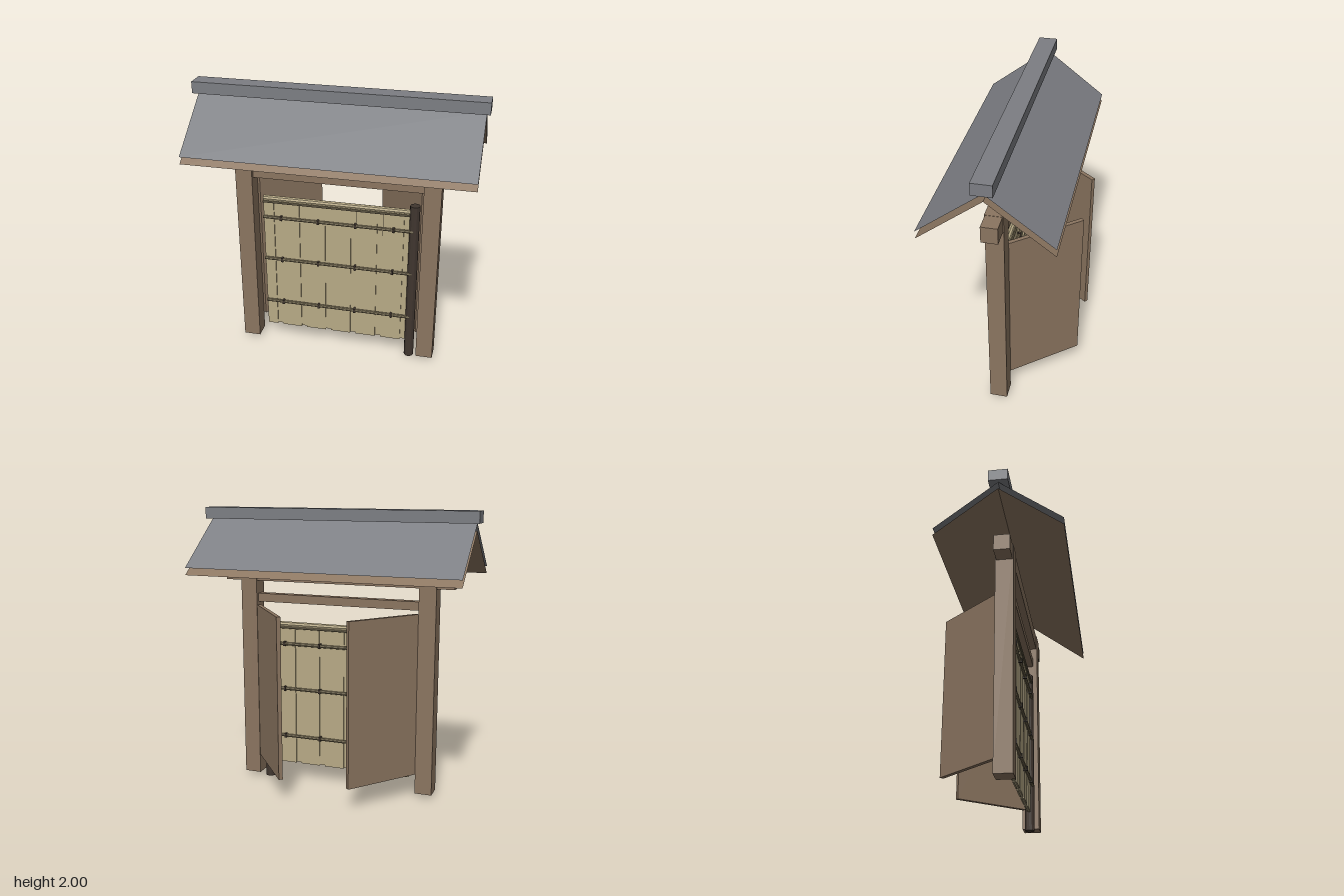
import * as THREE from 'three';

const mat = (color, side = THREE.FrontSide) =>
  new THREE.MeshStandardMaterial({ color, side, flatShading: true });

export function createModel() {
  const model = new THREE.Group();
  const wood = mat(0x8b7560), tile = mat(0x7c7e83);
  const bamboo = mat(0xb8aa86), cane = mat(0x85795c), dark = mat(0x40362f);
  const tileSheet = mat(0x7c7e83, THREE.DoubleSide);
  const woodSheet = mat(0x8b7560, THREE.DoubleSide);
  const zMid = 0.035;

  function add(name, geometry, material, x, y, z, parent = model) {
    const mesh = new THREE.Mesh(geometry, material);
    mesh.name = name;
    mesh.position.set(x, y, z);
    parent.add(mesh);
    return mesh;
  }
  // box given by its limits on each axis
  function box(name, material, x0, x1, y0, y1, z0, z1, parent) {
    return add(name, new THREE.BoxGeometry(x1 - x0, y1 - y0, z1 - z0), material,
      (x0 + x1) / 2, (y0 + y1) / 2, (z0 + z1) / 2, parent);
  }
  // round bar running along x
  function bar(name, material, x0, x1, y, z, r, parent) {
    const geometry = new THREE.CylinderGeometry(r, r, x1 - x0, 8).rotateZ(Math.PI / 2);
    return add(name, geometry, material, (x0 + x1) / 2, y, z, parent);
  }

  // gate frame
  for (const s of [-1, 1]) {
    add('post', new THREE.BoxGeometry(0.12, 1.57, 0.12), wood, s * 0.66, 0.815, zMid);
  }
  box('topBeam', wood, -0.84, 0.84, 1.485, 1.598, -0.018, 0.09);
  box('lintel', wood, -0.6, 0.6, 1.33, 1.39, 0.005, 0.065);

  // roof: a tile sheet above a board sheet on each slope, plus the ridge
  const rise = 0.32, run = 0.42;
  for (const s of [-1, 1]) {
    for (const [name, material, drop] of [['roofTiles', tileSheet, 0], ['roofBoards', woodSheet, 0.05]]) {
      const sheet = new THREE.PlaneGeometry(1.93, Math.hypot(rise, run));
      sheet.rotateX(-Math.PI / 2 + Math.atan2(rise, run));
      if (s < 0) sheet.rotateY(Math.PI);
      add(name, sheet, material, 0, 1.92 - rise / 2 - drop, 0.03 + s * run / 2);
    }
  }
  box('ridge', tile, -0.99, 0.99, 1.92, 2, -0.033, 0.097);

  // pair of doors swung open to the back
  for (const s of [-1, 1]) {
    const hinge = new THREE.Group();
    hinge.name = 'door';
    hinge.position.set(s * 0.6, 0, -0.022);
    hinge.rotation.y = s > 0 ? Math.PI - 0.89 : 0.89;
    box('doorLeaf', wood, 0, 0.55, 0.17, 1.31, s > 0 ? -0.028 : 0, s > 0 ? 0 : 0.028, hinge);
    model.add(hinge);
  }

  // bamboo screen with raised boards on both faces
  const screen = new THREE.Group();
  screen.name = 'screen';
  model.add(screen);
  const left = -0.54, right = 0.51;
  box('screenCore', bamboo, left, right, 0.13, 1.16, zMid - 0.005, zMid + 0.005, screen);
  for (let k = -1; k < 6; k++) {
    const x0 = Math.max(left, -0.425 + 0.187 * k);
    const x1 = Math.min(right, -0.465 + 0.187 * (k + 1));
    for (const s of [-1, 1]) {
      add('screenBoard', new THREE.BoxGeometry(x1 - x0, 1.02, 0.009), bamboo,
        (x0 + x1) / 2, 0.635, zMid + s * 0.0095, screen);
    }
  }
  bar('screenCap', bamboo, left, right, 1.17, zMid, 0.02, screen);

  // rails on both faces, bound by ties
  for (const y of [0.335, 0.695, 1.03, 1.15]) {
    const top = y > 1.1, r = top ? 0.008 : 0.012;
    for (const s of [-1, 1]) {
      bar('rail', cane, left, top ? right : 0.54, y, zMid + s * 0.024, r, screen);
    }
    if (top) continue;
    for (let i = 0; i < 4; i++) {
      add('tie', new THREE.BoxGeometry(0.014, 0.032, 0.078), dark,
        -0.41 + 0.27 * i, y, zMid, screen);
    }
  }

  // dark pole that carries the screen
  add('pole', new THREE.CylinderGeometry(0.035, 0.035, 1.22, 12), dark, 0.54, 0.61, zMid);

  return model;
}
